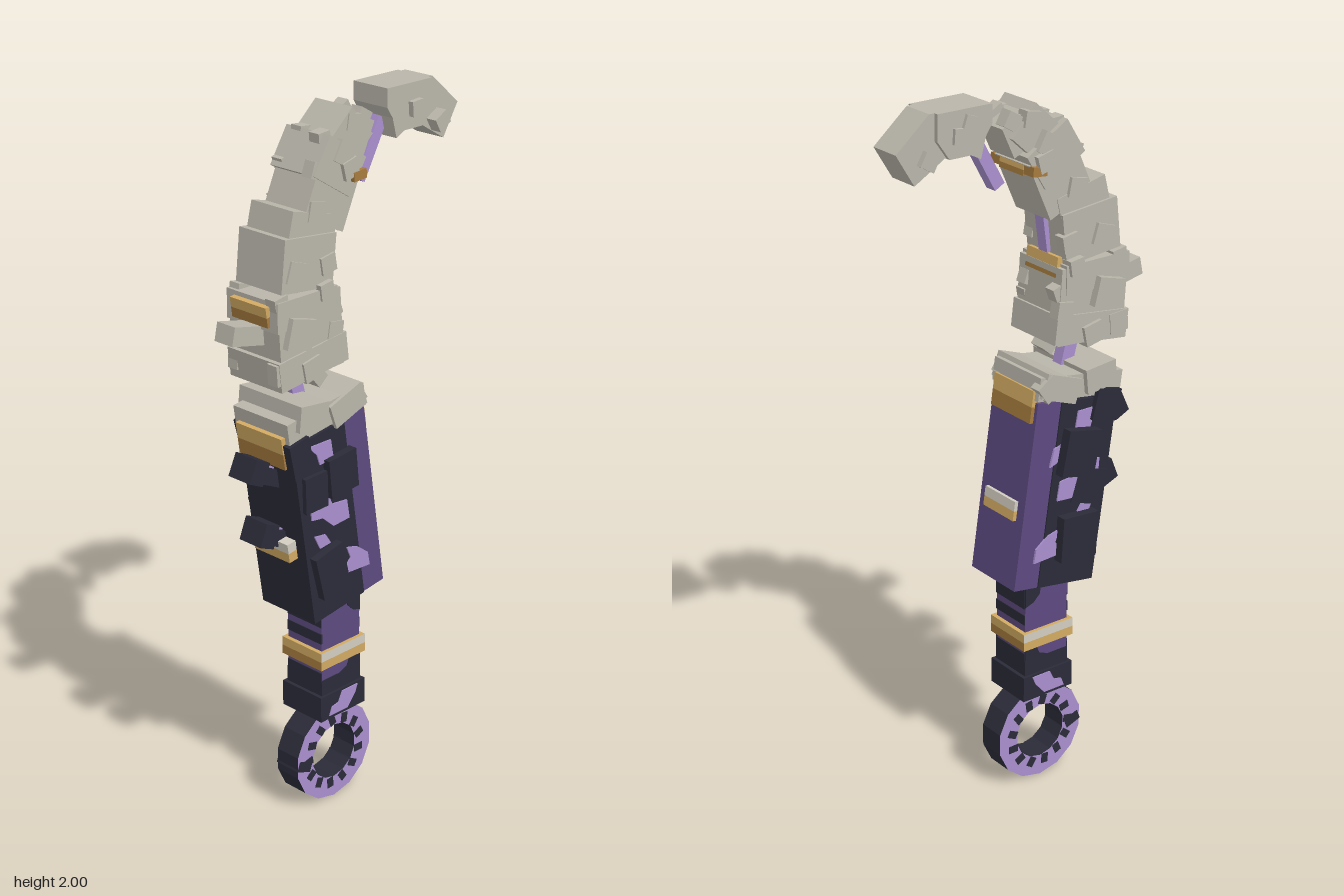
import * as THREE from 'three';

const mat = (name, color) => {
  const m = new THREE.MeshStandardMaterial({ color, flatShading: true });
  m.name = name;
  return m;
};

export function createModel() {
  const stone = mat('stone', 0xb9b5aa);
  const pale = mat('pale trim', 0xd2cdc0);
  const purple = mat('purple', 0x5d4a80);
  const lilac = mat('lilac', 0xa98fce);
  const dark = mat('dark', 0x2b2b39);
  const gold = mat('gold', 0xd2aa62);
  const bronze = mat('bronze', 0xa67b3e);

  const root = new THREE.Group();
  root.name = 'curvedKnife';
  const group = (name, parent, x = 0, y = 0, rot = 0) => {
    const g = new THREE.Group();
    g.name = name;
    g.position.set(x, y, 0);
    g.rotation.z = THREE.MathUtils.degToRad(rot);
    parent.add(g);
    return g;
  };
  const model = group('knife', root);
  model.position.z = 0.008;

  const box = (name, m, parent, [x, y, z], [w, h, d], rot = 0) => {
    const mesh = new THREE.Mesh(new THREE.BoxGeometry(w, h, d), m);
    mesh.name = name;
    mesh.position.set(x, y, z);
    mesh.rotation.z = THREE.MathUtils.degToRad(rot);
    parent.add(mesh);
    return mesh;
  };
  const shapeOf = pts => new THREE.Shape(pts.map(p => new THREE.Vector2(p[0], p[1])));
  const slab = (name, m, parent, pts, z, depth) => {
    const geo = new THREE.ExtrudeGeometry(shapeOf(pts), { depth, bevelEnabled: false });
    const mesh = new THREE.Mesh(geo, m);
    mesh.name = name;
    mesh.position.z = z - depth / 2;
    parent.add(mesh);
  };
  // Thin painted patch on the front and back faces
  const patch = (m, parent, pts, z) => {
    for (const s of [1, -1]) slab('camoPatch', m, parent, pts, s * z, 0.006);
  };
  // Two-tone bar passing through the knife
  const trim = (name, parent, x, y, w, h, d, rot, top, bottom) => {
    const g = group(name, parent, x, y, rot);
    box('trimTop', top, g, [0, h / 4, 0], [w, h / 2, d]);
    box('trimBottom', bottom, g, [0, -h / 4, 0], [w, h / 2, d]);
  };
  const faces = (side, front) => [side, side, side, side, front, front];

  // Ring pommel: lilac faces, dark rim, dark dashes
  const ringGroup = group('ringPommel', model, -0.055, 0.143);
  const circle = r => Array.from({ length: 14 }, (_, i) => {
    const a = (i + 0.5) * Math.PI / 7;
    return new THREE.Vector2(r * Math.cos(a), r * Math.sin(a));
  });
  const ringShape = new THREE.Shape(circle(0.145));
  ringShape.holes.push(new THREE.Path(circle(0.083).reverse()));
  const ring = new THREE.Mesh(
    new THREE.ExtrudeGeometry(ringShape, { depth: 0.08, bevelEnabled: false }), [lilac, dark]);
  ring.name = 'ring';
  ring.position.z = -0.04;
  ringGroup.add(ring);
  for (let i = 0; i < 13; i++) {
    const a = i * Math.PI * 2 / 13 + 0.2;
    box('ringDash', dark, ringGroup, [0.099 * Math.cos(a), 0.099 * Math.sin(a), 0],
      [0.03, 0.022, 0.084], a * 180 / Math.PI + 15);
  }
  box('ringDash', dark, ringGroup, [-0.115, -0.005, 0], [0.05, 0.03, 0.084], -20);

  // Grip, pommel block and band
  const grip = group('grip', model);
  box('pommelBlock', dark, grip, [-0.055, 0.318, 0], [0.17, 0.075, 0.15]);
  patch(lilac, grip, [[-0.06, 0.35], [0, 0.35], [-0.01, 0.325], [-0.04, 0.29], [-0.11, 0.29], [-0.1, 0.315], [-0.075, 0.32]], 0.075);
  box('gripCore', purple, grip, [-0.055, 0.5, 0], [0.145, 0.36, 0.13]);
  box('gripWrap', dark, grip, [-0.055, 0.372, 0], [0.149, 0.06, 0.134]);
  patch(dark, grip, [[0.018, 0.39], [0.018, 0.44], [-0.02, 0.44], [-0.03, 0.415], [-0.065, 0.4], [-0.07, 0.39]], 0.065);
  patch(dark, grip, [[0.018, 0.57], [0.018, 0.65], [-0.04, 0.65], [-0.03, 0.6], [-0.01, 0.58]], 0.065);
  for (const [y, h] of [[0.595, 0.06], [0.53, 0.03], [0.41, 0.03]])
    for (const x of [0.017, -0.127]) box('gripStripe', dark, grip, [x, y, 0], [0.006, h, 0.13]);
  trim('gripBand', grip, -0.055, 0.467, 0.17, 0.052, 0.152, 0, faces(gold, pale), faces(bronze, gold));

  // Handle body: purple edge and dark camo cover
  const body = group('handleBody', model, -0.093, 0.897, 8.5);
  box('purpleEdge', purple, body, [0.092, 0, 0], [0.084, 0.535, 0.192]);
  box('darkCover', dark, body, [-0.04, 0, 0], [0.19, 0.535, 0.2]);
  trim('lowerTrim', body, -0.01, -0.045, 0.31, 0.055, 0.132, 0, pale, gold);
  trim('upperTrim', body, -0.005, 0.255, 0.3, 0.09, 0.17, 0, gold, bronze);
  patch(lilac, model, [[-0.21, 1.13], [-0.13, 1.13], [-0.12, 1.075], [-0.17, 1.07], [-0.18, 1.1]], 0.101);
  patch(lilac, model, [[-0.205, 0.975], [-0.14, 0.98], [-0.125, 0.945], [-0.07, 0.94], [-0.06, 0.885], [-0.12, 0.88], [-0.16, 0.915], [-0.2, 0.92]], 0.101);
  patch(lilac, model, [[-0.07, 0.8], [-0.03, 0.79], [0.01, 0.76], [0.018, 0.72], [-0.09, 0.725], [-0.055, 0.765]], 0.101);
  patch(lilac, model, [[-0.08, 1.05], [-0.05, 1.04], [-0.035, 0.99], [-0.065, 1]], 0.101);
  patch(lilac, model, [[-0.19, 0.87], [-0.15, 0.865], [-0.13, 0.835], [-0.17, 0.83]], 0.101);
  // Raised armour tiles: x, y, z, w, h, rotation
  for (const [x, y, z, w, h, r] of [
    [-0.14, 0.76, 0.108, 0.1, 0.13, 14], [-0.1, 1.03, 0.108, 0.1, 0.11, 6],
    [-0.24, 1.11, 0.095, 0.07, 0.1, 12], [-0.19, 1.0, 0.098, 0.08, 0.1, 2],
    [-0.12, 1.02, -0.12, 0.11, 0.13, 12], [-0.12, 0.77, -0.115, 0.12, 0.13, 4],
    [-0.22, 1.13, -0.1, 0.08, 0.09, 15], [-0.17, 0.9, -0.09, 0.1, 0.1, 18]])
    box('armourTile', dark, model, [x, y, z], [w, h, 0.03], r);
  // Spurs on the outer edge
  for (const [x, y, r] of [[-0.285, 1.05, -25], [-0.25, 0.862, -22]]) {
    const spur = group('spur', model, x, y, r);
    box('spurStem', dark, spur, [0, 0, 0], [0.14, 0.045, 0.06]);
    box('spurTip', dark, spur, [-0.045, 0.005, 0], [0.05, 0.065, 0.08]);
    box('spurPatch', lilac, spur, [0.01, 0.024, 0], [0.04, 0.005, 0.04]);
  }

  // Inner lilac core seen through the gaps of the blade
  const core = group('bladeCore', model);
  box('core', lilac, core, [-0.165, 1.26, 0], [0.04, 0.16, 0.036], 15);
  box('core', lilac, core, [-0.095, 1.64, 0], [0.035, 0.16, 0.036], -8);
  box('core', lilac, core, [0.105, 1.84, 0], [0.034, 0.17, 0.036], -29);

  // Blade segments: x, y, w, h, depth, rotation
  const blade = group('blade', model);
  for (const [x, y, w, h, d, r] of [
    [-0.14, 1.2, 0.28, 0.065, 0.2, 8.5], [-0.2, 1.215, 0.1, 0.07, 0.23, -6], [-0.07, 1.21, 0.12, 0.07, 0.22, 20],
    [-0.185, 1.42, 0.22, 0.21, 0.18, 4], [-0.18, 1.355, 0.24, 0.08, 0.19, 7], [-0.2, 1.5, 0.21, 0.08, 0.185, 0],
    [-0.185, 1.615, 0.18, 0.14, 0.165, -6], [-0.168, 1.68, 0.16, 0.12, 0.15, -14],
    [-0.09, 1.775, 0.15, 0.17, 0.145, -24], [-0.07, 1.84, 0.15, 0.11, 0.155, -32],
    [-0.015, 1.905, 0.11, 0.1, 0.13, -48], [0.025, 1.9, 0.08, 0.09, 0.1, -25]])
    box('bladeSegment', stone, blade, [x, y, 0], [w, h, d], r);
  box('bladeSpur', stone, blade, [-0.34, 1.45, 0], [0.12, 0.05, 0.065], -12);
  trim('bladeTrimLow', blade, -0.2, 1.515, 0.235, 0.055, 0.13, 8, gold, bronze);
  trim('bladeTrimHigh', blade, -0.07, 1.796, 0.17, 0.03, 0.1, 8, gold, bronze);
  box('bladeTrimTab', bronze, blade, [-0.01, 1.808, 0], [0.045, 0.025, 0.18], 5);

  // Broken stone chips: x, y, size, depth reach, rotation
  for (const [x, y, s, z, r] of [
    [-0.235, 1.445, 0.085, 0.105, -15], [-0.285, 1.53, 0.045, 0.085, 10], [-0.135, 1.535, 0.045, 0.095, 8],
    [-0.28, 1.35, 0.06, 0.09, 4], [-0.1, 1.42, 0.05, 0.09, -10], [-0.19, 1.34, 0.06, 0.098, 12],
    [-0.12, 1.6, 0.05, 0.085, 10], [-0.23, 1.6, 0.06, 0.085, -18], [-0.15, 1.74, 0.055, 0.075, -12],
    [-0.09, 1.47, 0.04, 0.08, 20], [-0.14, 1.84, 0.045, 0.07, -20], [-0.04, 1.83, 0.05, 0.085, 15],
    [-0.055, 1.87, 0.06, 0.08, -30], [-0.01, 1.94, 0.045, 0.065, -10], [-0.1, 1.91, 0.04, 0.05, 5],
    [0.04, 1.94, 0.045, 0.05, -30], [-0.04, 1.22, 0.06, 0.105, 35]])
    for (const side of [1, -1])
      box('stoneChip', stone, blade, [x + (side < 0 ? 0.01 : 0), y, side * (z - 0.012) - 0.002],
        [s, s * 0.95, 0.035], r * side);
  box('looseChip', stone, blade, [-0.12, 1.287, 0.03], [0.04, 0.04, 0.05], 40);

  // Detached hooked tip
  const tip = group('bladeTip', blade);
  slab('tipHook', stone, tip, [[0.24, 2], [0.3, 2], [0.4, 1.915], [0.347, 1.828], [0.25, 1.885], [0.22, 1.92]], -0.003, 0.095);
  slab('tipBase', stone, tip, [[0.12, 2], [0.285, 2], [0.285, 1.93], [0.25, 1.88], [0.185, 1.88], [0.155, 1.865], [0.14, 1.92], [0.12, 1.95]], -0.003, 0.12);
  box('tipChip', stone, tip, [0.22, 1.935, 0], [0.04, 0.04, 0.145], 5);
  box('tipChip', stone, tip, [0.19, 1.965, -0.01], [0.035, 0.035, 0.125], 20);
  box('tipChip', stone, tip, [0.31, 1.885, 0.005], [0.045, 0.04, 0.145], 30);
  return root;
}
